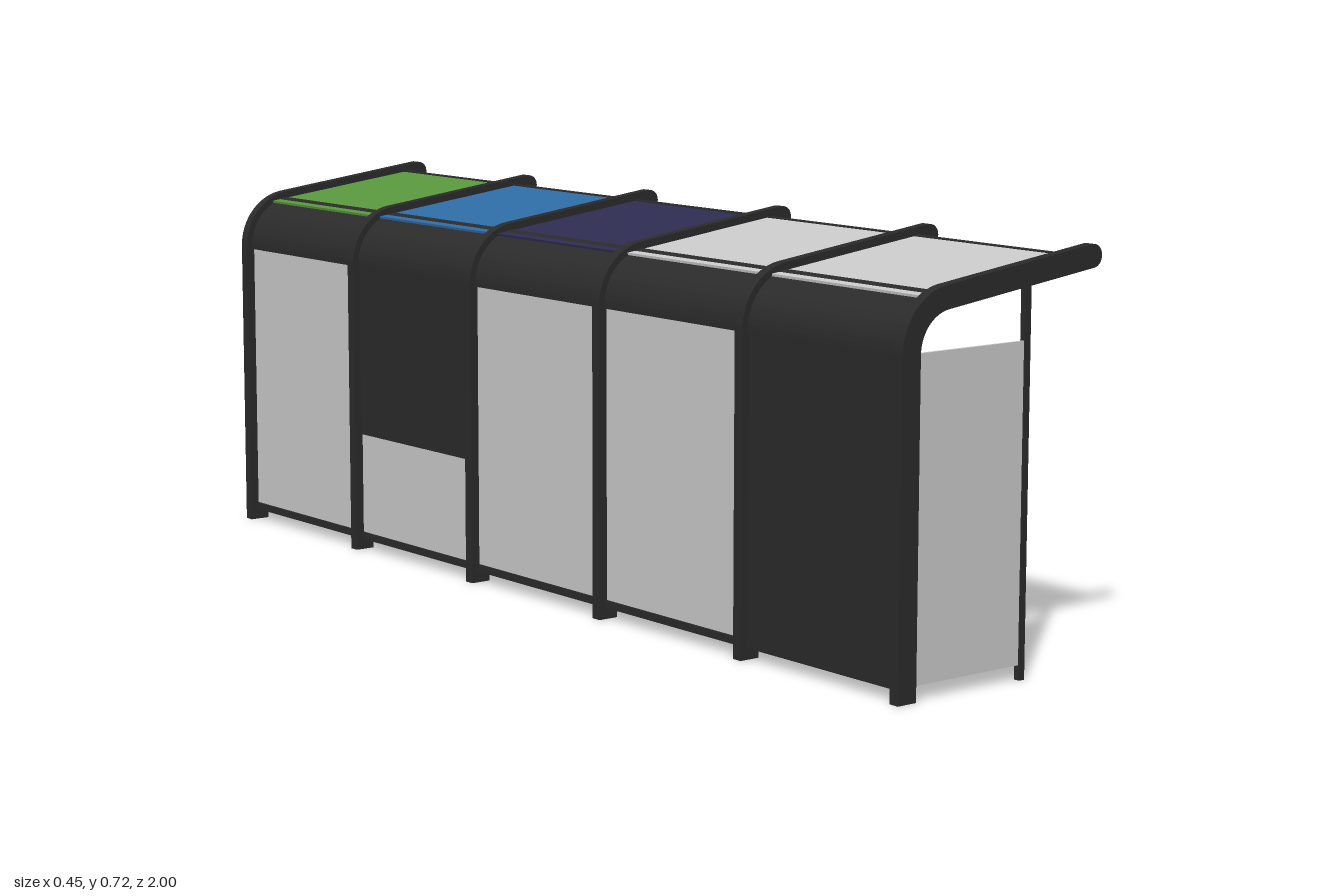
import * as THREE from 'three';
import { toCreasedNormals } from 'three/addons/utils/BufferGeometryUtils.js';

const mat = (name, color) => {
  const m = new THREE.MeshStandardMaterial({ color });
  m.name = name;
  return m;
};

export function createModel() {
  const steel = mat('dark steel', 0x2b2b2b);
  const pane = mat('pale panel', 0xcdcdcd);
  const green = mat('green', 0x5a993d);
  const blue = mat('blue', 0x2f6ea8);
  const navy = mat('navy', 0x2e2d52);
  const wood = mat('wood', 0x805a3a);

  const shelter = new THREE.Group();
  shelter.name = 'shelter';

  const add = (name, geometry, material, x = 0, y = 0, z = 0) => {
    const mesh = new THREE.Mesh(geometry, material);
    mesh.name = name;
    mesh.position.set(x, y, z);
    shelter.add(mesh);
    return mesh;
  };
  // box given by its limits on each axis
  const box = (name, material, x0, x1, y0, y1, z0, z1) =>
    add(name, new THREE.BoxGeometry(x1 - x0, y1 - y0, z1 - z0), material,
      (x0 + x1) / 2, (y0 + y1) / 2, (z0 + z1) / 2);
  const extrude = (shape, depth) => {
    const g = new THREE.ExtrudeGeometry(shape, { depth, bevelEnabled: false, curveSegments: 20 });
    g.translate(0, 0, -depth / 2);
    return toCreasedNormals(g, 0.5);
  };

  // centre line of a frame: post, bend, then a rising arm
  const postX = -0.205, bendY = 0.57, R = 0.09, half = 0.02;
  const cx = postX + R;
  const slope = 0.128, tilt = Math.atan(slope);
  const endAngle = Math.PI / 2 + tilt;
  const tip = new THREE.Vector2(0.203, 0.702);
  const armY = x => tip.y + (x - tip.x) * slope;

  // frames
  const frame = new THREE.Shape();
  frame.moveTo(postX - half, 0);
  frame.lineTo(postX - half, bendY);
  frame.absarc(cx, bendY, R + half, Math.PI, endAngle, true);
  frame.absarc(tip.x, tip.y, half, endAngle, tilt - Math.PI / 2, true);
  frame.absarc(cx, bendY, R - half, endAngle, Math.PI, false);
  frame.lineTo(postX + half, 0);
  frame.closePath();
  const frameGeo = extrude(frame, 0.02);
  const pitch = 0.396;
  for (let i = 0; i < 6; i++) add('frame', frameGeo, steel, 0, 0, 0.99 - i * pitch);

  // curved strip between the wall and the roof
  const t = 0.008;
  const bend = new THREE.Shape();
  bend.absarc(cx, bendY, R + t, Math.PI, endAngle, true);
  bend.absarc(cx, bendY, R - t, endAngle, Math.PI, false);
  bend.closePath();
  const span = pitch - 0.02;
  const bendGeo = extrude(bend, span);

  // bays, counted from the front
  const roofColors = [pane, pane, navy, blue, green];
  const roofX0 = -0.16, roofX1 = 0.168;
  const roofGeo = new THREE.BoxGeometry((roofX1 - roofX0) / Math.cos(tilt), 0.008, span);
  roofColors.forEach((color, i) => {
    const zc = 0.99 - (i + 0.5) * pitch;
    const z0 = zc - span / 2, z1 = zc + span / 2;
    const rx = (roofX0 + roofX1) / 2;
    add('roofPanel', roofGeo, color, rx, armY(rx) + 0.002, zc).rotation.z = tilt;
    add('roofBend', bendGeo, steel, 0, 0, zc);
    box('frontRail', steel, 0.165, 0.179, armY(0.172) - 0.007, armY(0.172) + 0.007, z0, z1);
    box('wallPanel', pane, -0.208, -0.202, 0.025, 0.57, z0, z1);
    box('bottomRail', steel, -0.212, -0.198, 0.021, 0.035, z0, z1);
    box('topRail', steel, -0.212, -0.198, 0.565, 0.578, z0, z1);
  });

  // display cases: dark box with a pale face on the inner side
  const display = (bay, y0, y1) => {
    const zc = 0.99 - (bay + 0.5) * pitch;
    const h = 0.183, b = 0.012;
    box('displayCase', steel, -0.214, -0.194, y0, y1, zc - h, zc + h);
    box('displayFace', pane, -0.196, -0.192, y0 + b, y1 - b, zc - h + b, zc + h - b);
  };
  display(0, 0.03, 0.57);
  display(3, 0.233, 0.57);

  // end walls with slim front posts
  for (const s of [1, -1]) {
    const z = s * 0.99;
    box('endPanel', pane, -0.187, 0.054, 0.026, 0.572, z - 0.003, z + 0.003);
    box('endPost', steel, 0.052, 0.064, 0, armY(0.058) - 0.01, z - 0.006, z + 0.006);
  }

  // bench over two bays, held by brackets
  for (const i of [1, 2]) {
    const zc = 0.99 - (i + 0.5) * pitch;
    box('benchSeat', wood, -0.198, -0.115, 0.098, 0.112, zc - 0.192, zc + 0.192);
  }
  for (const i of [1, 2, 3]) {
    const z = 0.99 - i * pitch;
    box('benchBracket', steel, -0.19, -0.112, 0.09, 0.111, z - 0.006, z + 0.006);
  }

  return shelter;
}
